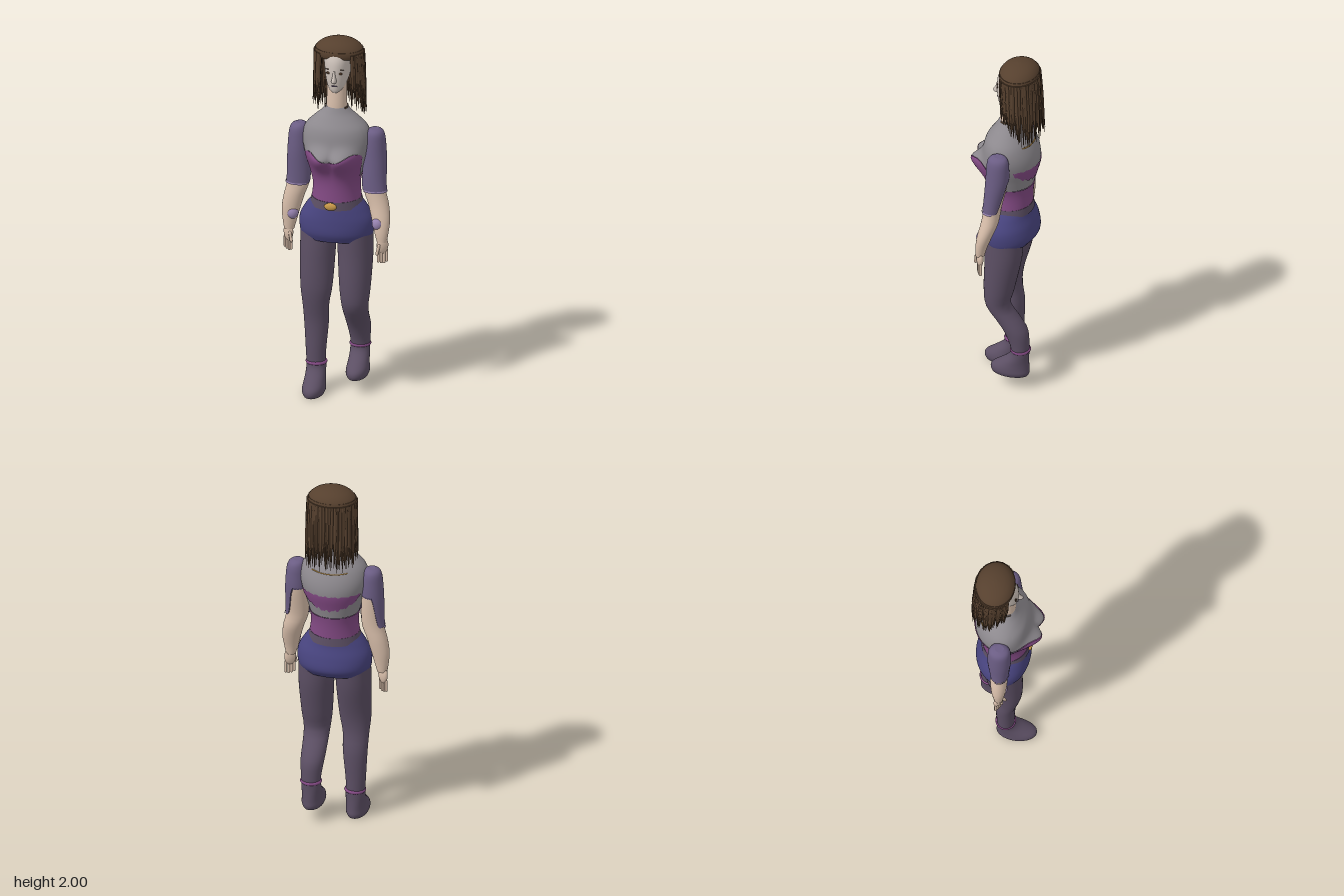
import * as THREE from 'three';
import { mergeGeometries } from 'three/addons/utils/BufferGeometryUtils.js';

const PI = Math.PI;
const mat = (name, color) => new THREE.MeshStandardMaterial({ name, color, side: THREE.DoubleSide });
const smooth = THREE.MathUtils.smoothstep;

// Smoothly interpolated row of a section table whose first column is y
function rowAt(S, y) {
  let i = 0;
  while (i < S.length - 2 && y > S[i + 1][0]) i++;
  const a = S[i], b = S[i + 1], p = S[Math.max(i - 1, 0)], q = S[Math.min(i + 2, S.length - 1)];
  const h = b[0] - a[0], k = THREE.MathUtils.clamp((y - a[0]) / h, 0, 1), k2 = k * k, k3 = k2 * k;
  return a.map((_, c) => {
    const m0 = (b[c] - p[c]) / (b[0] - p[0]) * h, m1 = (q[c] - a[c]) / (q[0] - a[0]) * h;
    return (2 * k3 - 3 * k2 + 1) * a[c] + (k3 - 2 * k2 + k) * m0 + (3 * k2 - 2 * k3) * b[c] + (k3 - k2) * m1;
  });
}

// Body surface from rows [y, centre x, centre z, half width, front depth, back depth]; t = 0 faces front
function surface(S, off = 0, bump = null) {
  const T = S.map(r => r.length > 5 ? r : [...r, r[4]]);
  return (t, y) => {
    const [, cx, cz, rx, rf, rb] = rowAt(T, y), s = Math.sin(t), c = Math.cos(t);
    const x = cx + (rx + off) * s, z = cz + ((c > 0 ? rf : rb) + off) * c;
    return new THREE.Vector3(x, y, z + (bump ? bump(x, y, c) : 0));
  };
}

// Skin a surface between two heights, each a number or a function of the angle
function skin(surf, lo, hi, { t0 = -PI, t1 = PI, cols = 40, rows = 24, caps = true } = {}) {
  const closed = t1 - t0 > 6.28, n = closed ? cols : cols + 1, pos = [], idx = [];
  const f = (v, t) => typeof v === 'function' ? v(t) : v;
  const rings = [];
  for (let j = 0; j <= rows; j++) {
    const v = (1 - Math.cos(PI * j / rows)) / 2;
    rings.push(Array.from({ length: n }, (_, i) => {
      const t = t0 + (t1 - t0) * i / cols;
      return surf(t, f(lo, t) + (f(hi, t) - f(lo, t)) * v);
    }));
  }
  const add = list => {
    const base = pos.length / 3;
    list.forEach(r => r.forEach(p => pos.push(p.x, p.y, p.z)));
    for (let j = 0; j < list.length - 1; j++) for (let i = 0; i < cols; i++) {
      const a = base + j * n + i, b = base + j * n + (i + 1) % n;
      idx.push(a, b, b + n, a, b + n, a + n);
    }
  };
  add(rings);
  if (closed && caps) {
    const centre = r => { const c = new THREE.Vector3(); r.forEach(p => c.addScaledVector(p, 1 / n)); return r.map(() => c); };
    add([centre(rings[0]), rings[0]]);
    add([rings[rows], centre(rings[rows])]);
  }
  const g = new THREE.BufferGeometry();
  g.setAttribute('position', new THREE.Float32BufferAttribute(pos, 3));
  g.setIndex(idx);
  g.computeVertexNormals();
  return g;
}

export function createModel() {
  const M = {
    skin: mat('skin', 0xd9bfab), face: mat('pale face', 0xcdc2ba), shirt: mat('grey shirt', 0x8d898e),
    bodice: mat('purple bodice', 0x834a84), sleeve: mat('muted violet', 0x6b5d84), lilac: mat('lilac', 0x9a86b4),
    shorts: mat('indigo', 0x48447f), legging: mat('dusky plum', 0x5c4f64), hair: mat('brown hair', 0x56402e),
    gold: mat('gold', 0xc99a4a),
  };
  const model = new THREE.Group();
  const put = (name, geo, m, parent = model) => {
    const mesh = new THREE.Mesh(geo, m);
    mesh.name = name;
    parent.add(mesh);
    return mesh;
  };
  const ball = (name, m, p, s, parent = model) => {
    const b = put(name, new THREE.SphereGeometry(1, 20, 14), m, parent);
    b.position.set(...p);
    b.scale.set(...s);
    return b;
  };

  // Torso: bodice with a sweetheart neckline, shirt above it
  const torsoRows = [[1.08, 0, 0, .135, .125, .12], [1.2, 0, 0, .125, .12, .125], [1.3, 0, 0, .15, .125, .142],
    [1.38, 0, 0, .175, .13, .162], [1.45, 0, 0, .186, .137, .155], [1.52, 0, 0, .168, .122, .125],
    [1.57, 0, 0, .12, .09, .09], [1.6, 0, 0, .085, .07, .07], [1.635, 0, 0, .054, .053, .056]];
  const bust = (x, y, c) => c <= 0 ? 0 : .076 * Math.min(1, 2 * c)
    * Math.exp(-(((Math.abs(x) - .06) / .08) ** 2)) * Math.exp(-(((y - 1.375) / (y > 1.375 ? .045 : .075)) ** 2));
  const torso = surface(torsoRows, 0, bust);
  const neckline = t => {
    const a = Math.min(Math.abs(t), 1.35);
    return 1.365 + .04 * Math.sin(a * 2.2) ** 2 - .12 * smooth(a, 1.05, 1.35);
  };
  put('bodice', skin(surface(torsoRows, .003, bust), 1.08, neckline, { cols: 80, rows: 30, caps: false }), M.bodice);
  put('shirt', skin(torso, neckline, 1.635, { cols: 80, rows: 30, caps: false }), M.shirt);
  const jag = t => .008 * Math.sin(t * 23) + .006 * Math.sin(t * 41);
  put('backPatch', skin(surface(torsoRows, .004), t => 1.385 - .09 * Math.sin((t - 2.05) / 2.2 * PI) ** .6 + jag(t) * .7,
    t => 1.39 + jag(t) * .3, { t0: 2.05, t1: 4.25, cols: 50, rows: 6 }), M.bodice);
  const chain = surface(torsoRows, .003);
  put('backChain', new THREE.TubeGeometry(new THREE.CatmullRomCurve3(
    [-.6, -.3, 0, .3, .6].map(d => chain(PI + d, 1.52 - .01 * Math.cos(d * 2)))), 24, .003, 6), M.gold);

  // Belt and shorts
  put('shorts', skin(surface([[.885, 0, 0, .186, .115, .125], [.93, 0, 0, .2, .135, .157], [1, 0, 0, .199, .136, .148],
    [1.06, 0, 0, .168, .129, .127], [1.1, 0, 0, .138, .122, .12]]), .885, 1.1, { cols: 56 }), M.shorts);
  put('belt', skin(surface([[1.075, 0, 0, .146, .134, .13], [1.12, 0, 0, .134, .13, .126]]), 1.075, 1.12, { rows: 4 }), M.legging);
  ball('buckle', M.gold, [-.005, 1.098, .133], [.034, .021, .013]);

  // Legs, the left one stepping back with its foot raised
  const legs = {
    right: [[.13, -.11, .015, .05, .046], [.22, -.111, .014, .054, .049], [.4, -.108, .014, .067, .054],
      [.5, -.108, .03, .072, .056], [.6, -.104, .034, .086, .068], [.8, -.102, .008, .095, .095], [.93, -.1, -.005, .097, .1]],
    left: [[.21, .106, -.1, .05, .046], [.28, .106, -.093, .055, .053], [.36, .104, -.07, .064, .066],
      [.43, .103, -.022, .067, .068], [.5, .105, .027, .071, .066], [.6, .104, .023, .083, .082],
      [.8, .102, 0, .095, .1], [.93, .1, -.005, .097, .105]],
  };
  const footRows = [[0, 0, .073, .053, .1], [.02, 0, .073, .061, .108], [.045, 0, .07, .06, .104], [.075, 0, .05, .056, .083],
    [.105, 0, .03, .054, .062], [.135, 0, .018, .053, .05], [.17, 0, .015, .053, .048]];
  for (const [side, x, dy, dz] of [['right', -.108, 0, 0], ['left', .105, .08, -.113]]) {
    const leg = new THREE.Group();
    leg.name = side + 'Leg';
    model.add(leg);
    put('legging', skin(surface(legs[side]), legs[side][0][0], .93, { rows: 32 }), M.legging, leg);
    const shoe = put('shoe', skin(surface(footRows), 0, .165), M.legging, leg);
    shoe.position.set(x, dy, dz);
    const band = put('ankleBand', new THREE.TorusGeometry(.05, .009, 8, 32), M.bodice, leg);
    band.rotation.x = PI / 2;
    band.scale.y = .94;
    band.position.set(x, dy + .16, dz + .014);
  }

  // Arms with ragged-backed sleeves and hands; the left hand hangs further forward
  for (const [side, s, zw] of [['right', -1, -.005], ['left', 1, .072]]) {
    const arm = new THREE.Group();
    arm.name = side + 'Arm';
    model.add(arm);
    const rows = [[.9, .262, 1, .027, .024], [.95, .259, .93, .038, .031], [1.02, .252, .72, .05, .04],
      [1.1, .234, .45, .056, .046], [1.18, .211, .35, .06, .046], [1.35, .208, .05, .057, .057], [1.45, .208, 0, .05, .055],
      [1.49, .208, 0, .042, .049], [1.508, .206, 0, .03, .036], [1.515, .203, 0, .015, .018]]
      .map(([y, x, f, rx, rz]) => [y, s * x, f * zw - .008 * (1 - f), rx, rz]);
    put('bareArm', skin(surface(rows), .9, 1.5, { rows: 30 }), M.skin, arm);
    const hem = t => {
      const k = smooth(-.8 * Math.cos(t) - s * .5 * Math.sin(t), .25, .75);
      return 1.175 + k * (.19 + jag(t));
    };
    put('sleeve', skin(surface(rows, .006), hem, 1.515, { cols: 64, rows: 28 }), M.sleeve, arm);
    put('cuff', skin(surface(rows, .009), 1.17, 1.18, { t0: s * .5 - 1.4, t1: s * .5 + 1.4, rows: 3 }), M.lilac, arm);
    ball('wristPatch', M.lilac, [s * .24, 1.0, zw * .78 + .014], [.032, .038, .031], arm);
    const hand = new THREE.Group();
    hand.name = 'hand';
    hand.position.set(s * .266, .88, zw);
    hand.rotation.y = s * .6;
    arm.add(hand);
    ball('palm', M.skin, [0, 0, 0], [.033, .05, .018], hand);
    [-.024, -.008, .008, .024].forEach((x, i) => {
      const finger = put('finger', new THREE.CapsuleGeometry(.0078, [.055, .068, .072, .058][i], 4, 8), M.skin, hand);
      finger.position.set(x, -.06, .002);
    });
    const thumb = put('thumb', new THREE.CapsuleGeometry(.0085, .045, 4, 8), M.skin, hand);
    thumb.position.set(-s * .032, -.018, .014);
    thumb.rotation.z = -s * .25;
  }

  // Neck, choker and head
  const neckRows = [[1.6, 0, 0, .056, .054], [1.66, 0, 0, .055, .053], [1.78, 0, -.006, .053, .05]];
  put('neck', skin(surface(neckRows), 1.6, 1.78), M.skin);
  put('choker', skin(surface(neckRows, .006), 1.612, 1.636, { t0: .95, t1: 5.3, rows: 3 }), M.hair);
  const head = surface([[1.722, 0, .036, .016, .02], [1.735, 0, .024, .034, .038], [1.76, 0, .004, .05, .062],
    [1.8, 0, -.02, .063, .09], [1.85, 0, -.034, .071, .104], [1.9, 0, -.042, .078, .105], [1.95, 0, -.05, .08, .09]]);
  put('head', skin(head, 1.722, 1.95), M.face);
  put('nose', skin(surface([[1.786, 0, .071, .012, .018], [1.795, 0, .07, .014, .026], [1.82, 0, .066, .009, .016],
    [1.85, 0, .063, .007, .01]]), 1.786, 1.85, { cols: 16, rows: 8 }), M.face);
  ball('lips', M.legging, head(0, 1.764).toArray(), [.018, .004, .004]);
  for (const s of [-1, 1]) {
    ball('eye', M.hair, head(s * .48, 1.836).toArray(), [.014, .0065, .004]);
    ball('brow', M.hair, head(s * .5, 1.857).toArray(), [.017, .002, .003]);
    ball('ear', M.face, [s * .068, 1.83, -.045], [.009, .028, .018]);
  }

  // Hair: rounded cap, inner curtain and hanging tapered strands
  put('hairCap', skin(surface([[1.905, 0, -.055, .127, .102], [1.925, 0, -.055, .132, .106], [1.95, 0, -.055, .125, .102],
    [1.975, 0, -.055, .098, .082], [1.99, 0, -.055, .064, .056], [1.997, 0, -.055, .035, .031], [2, 0, -.055, .01, .01]]),
    1.905, 2, { cols: 48, rows: 28 }), M.hair);
  put('hairBand', skin(surface([[1.938, 0, -.055, .132, .107], [1.946, 0, -.055, .13, .105]]), 1.938, 1.946, { rows: 2 }), M.hair);
  put('hairCurtain', skin(surface([[1.66, 0, -.085, .116, .088], [1.93, 0, -.055, .122, .098]]),
    t => 1.82 - .13 * smooth(1 - Math.abs(t - PI) / 2.1, 0, .6) + .015 * Math.sin(t * 31), 1.93,
    { t0: PI - 2.1, t1: PI + 2.1, cols: 80, rows: 6 }), M.hair);
  let seed = 7;
  const rand = () => (seed = (seed * 16807) % 2147483647) / 2147483647;
  const strands = [];
  for (let layer = 0; layer < 2; layer++) for (let i = 0; i < 74; i++) {
    const a = .74 + (2 * PI - 1.48) * (i + rand() * .6) / 74, back = (1 - Math.cos(a)) / 2;
    const tip = 1.71 - .13 * smooth(back, .1, .75) - .04 * rand() + layer * .07;
    const r = 1 - layer * .05, x = Math.sin(a) * .129 * r, z = -.055 + Math.cos(a) * .103 * r;
    const spread = 1.02 + .1 * rand(), dz = -.006 - .024 * back * rand(), w = .007 + .004 * rand();
    const mid = (1.93 + tip) / 2, wob = (rand() - .5) * .012;
    strands.push(skin(surface([[tip, x * spread + wob, z + dz, .0008, .0008], [mid, x * 1.03 - wob * .4, z + dz * .5, w, w],
      [1.93, x, z, w, w]]), tip, 1.93, { cols: 6, rows: 7 }));
  }
  put('hairStrands', mergeGeometries(strands), M.hair);

  return model;
}
